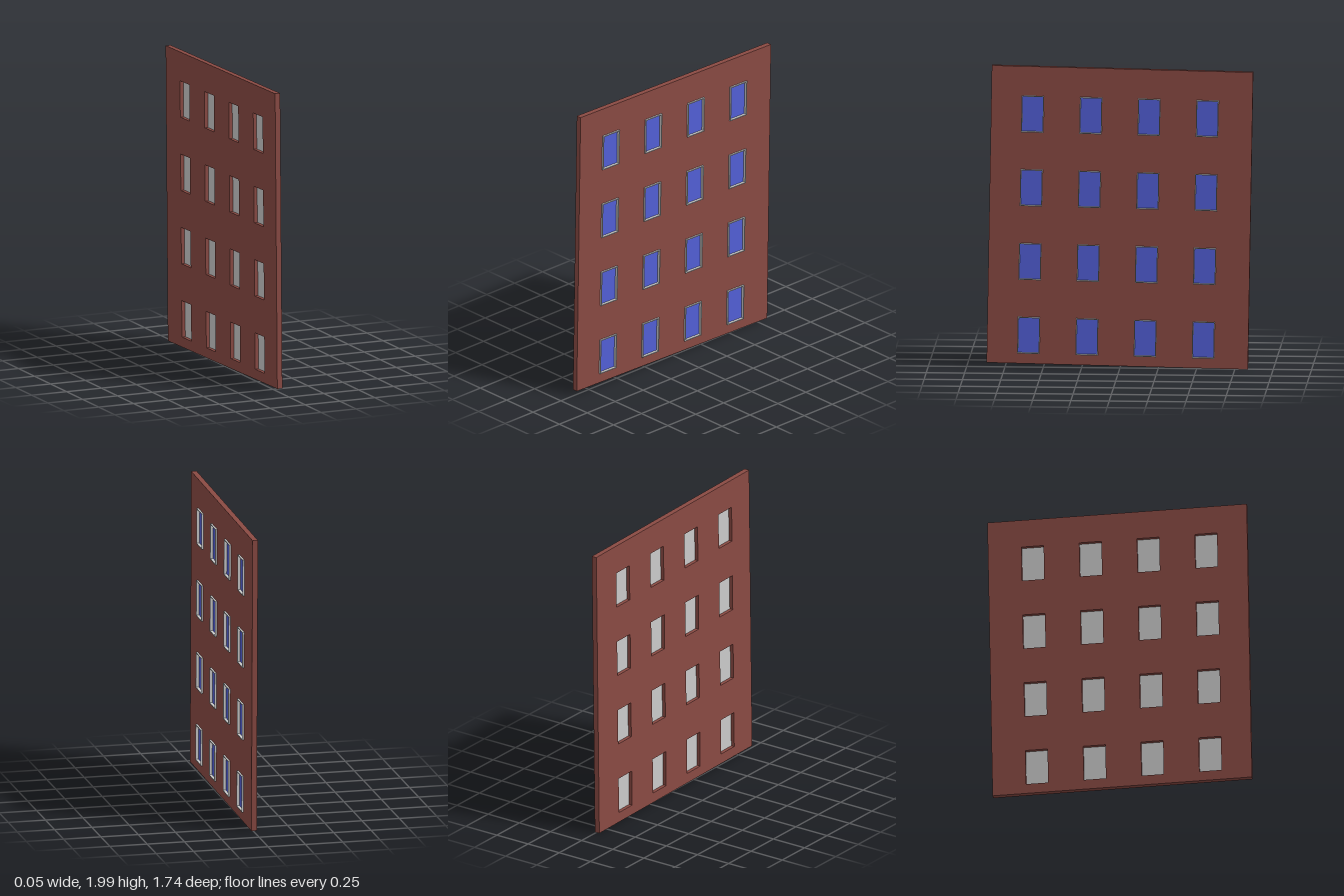
import * as THREE from 'three';

const WALL_W = 1.705, WALL_H = 1.965;
const WALL_BACK = -0.024, WALL_FRONT = 0.012;
const WIN_W = 0.146, WIN_H = 0.242, RIM = 0.006;
const FRAME_BACK = 0, FRAME_FRONT = 0.024, PANE_FRONT = 0.005;

// Rectangle outline centred on (x, y)
function rect(Type, x, y, w, h) {
  const p = new Type();
  p.moveTo(x - w / 2, y - h / 2);
  p.lineTo(x + w / 2, y - h / 2);
  p.lineTo(x + w / 2, y + h / 2);
  p.lineTo(x - w / 2, y + h / 2);
  p.closePath();
  return p;
}

// Extrude a front-facing shape between two depths, then turn it to face +x
function slab(shape, from, to) {
  return new THREE.ExtrudeGeometry(shape, { depth: to - from, bevelEnabled: false })
    .translate(0, 0, from)
    .rotateY(Math.PI / 2);
}

export function createModel() {
  const model = new THREE.Group();
  model.name = 'windowedWall';

  const brick = new THREE.MeshStandardMaterial({ color: 0x8a4a43 });
  const grey = new THREE.MeshStandardMaterial({ color: 0xcccccc });
  const blue = new THREE.MeshStandardMaterial({ color: 0x5360d8 });

  // The whole wall leans by one degree in its own plane
  const panel = new THREE.Group();
  panel.name = 'leaningPanel';
  panel.position.y = 1;
  panel.rotation.x = -0.0175;
  model.add(panel);

  // Four by four grid of window centres
  const centres = [];
  for (let row = 0; row < 4; row++) {
    for (let col = 0; col < 4; col++) {
      centres.push([-0.011 + (col - 1.5) * 0.38, -0.063 + (row - 1.5) * 0.488]);
    }
  }

  // Wall with an opening for every window
  const wallShape = rect(THREE.Shape, 0, 0, WALL_W, WALL_H);
  for (const [x, y] of centres) wallShape.holes.push(rect(THREE.Path, x, y, WIN_W, WIN_H));
  const wall = new THREE.Mesh(slab(wallShape, WALL_BACK, WALL_FRONT), brick);
  wall.name = 'wall';
  panel.add(wall);

  // Shared window parts: rim, backing board and pane
  const innerW = WIN_W - 2 * RIM, innerH = WIN_H - 2 * RIM;
  const rimShape = rect(THREE.Shape, 0, 0, WIN_W, WIN_H);
  rimShape.holes.push(rect(THREE.Path, 0, 0, innerW, innerH));
  const inner = rect(THREE.Shape, 0, 0, innerW, innerH);
  const parts = [
    ['windowFrame', slab(rimShape, FRAME_BACK, FRAME_FRONT), grey],
    ['windowBacking', slab(inner, FRAME_BACK, 0.002), grey],
    ['windowPane', slab(inner, 0.002, PANE_FRONT), blue],
  ];

  for (const [x, y] of centres) {
    const unit = new THREE.Group();
    unit.name = 'window';
    for (const [name, geometry, material] of parts) {
      const mesh = new THREE.Mesh(geometry, material);
      mesh.name = name;
      unit.add(mesh);
    }
    unit.position.set(0, y, -x);
    panel.add(unit);
  }

  return model;
}
